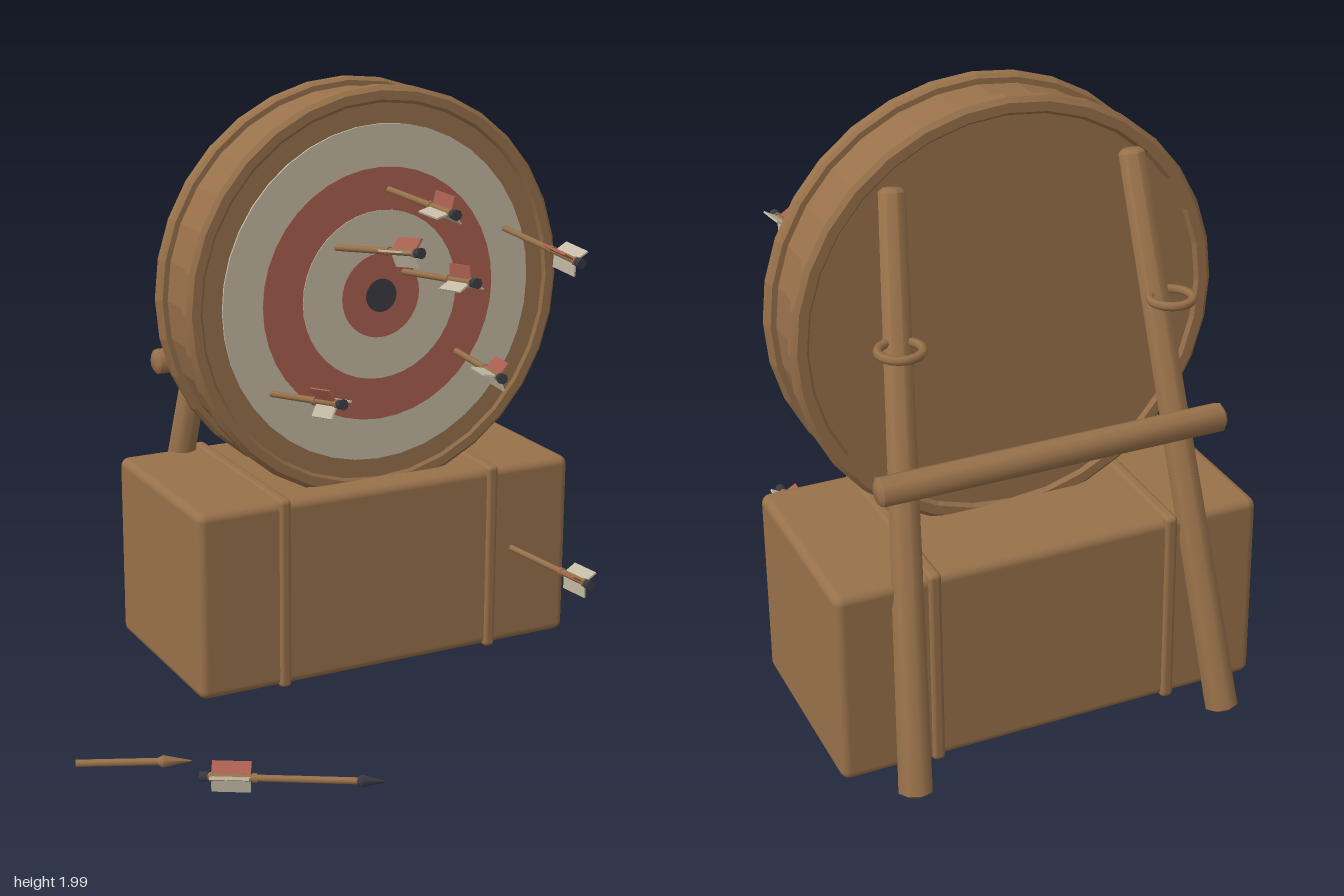
import * as THREE from 'three';
import { toCreasedNormals } from 'three/addons/utils/BufferGeometryUtils.js';
import { RoundedBoxGeometry } from 'three/addons/geometries/RoundedBoxGeometry.js';

const material = (name, color) => Object.assign(new THREE.MeshStandardMaterial({ color }), { name });
const V = (x, y, z) => new THREE.Vector3(x, y, z);

export function createModel() {
  const wood = material('wood', 0x98714a);
  const cream = material('cream', 0xc4baa4);
  const red = material('red', 0xa95f4f);
  const dark = material('dark', 0x3a3b42);
  const model = new THREE.Group();
  model.name = 'archeryTarget';

  function add(parent, name, geometry, mat, x = 0, y = 0, z = 0) {
    const mesh = new THREE.Mesh(geometry, mat);
    mesh.name = name;
    mesh.position.set(x, y, z);
    parent.add(mesh);
    return mesh;
  }

  // Cylinder whose axis runs along z, from z0 to z1
  function rod(parent, name, r0, r1, z0, z1, mat, sides = 8) {
    const g = new THREE.CylinderGeometry(r1, r0, z1 - z0, sides).rotateX(Math.PI / 2);
    return add(parent, name, g, mat, 0, 0, (z0 + z1) / 2);
  }

  // Wooden pole with bevelled ends between two points
  function pole(name, a, b, ra, rb) {
    const len = a.distanceTo(b), c = 0.012;
    const pts = [[0, 0], [ra * 0.65, 0], [ra, c], [rb, len - c], [rb * 0.65, len], [0, len]];
    const g = new THREE.LatheGeometry(pts.map(p => new THREE.Vector2(...p)), 8);
    const mesh = add(model, name, toCreasedNormals(g, 0.85), wood, a.x, a.y, a.z);
    mesh.quaternion.setFromUnitVectors(V(0, 1, 0), b.clone().sub(a).normalize());
  }

  // Bale with two straps
  add(model, 'bale', new RoundedBoxGeometry(1.41, 0.65, 0.7, 2, 0.03), wood, 0.26, 0.35, -0.325);
  for (const x of [-0.137, 0.653]) {
    add(model, 'strap', new RoundedBoxGeometry(0.042, 0.665, 0.722, 2, 0.015), wood, x, 0.353, -0.325);
  }

  // Round target: drum with a raised rim at each end
  const target = new THREE.Group();
  target.name = 'target';
  target.position.set(0.26, 1.31, 0);
  model.add(target);
  const profile = [
    [0, -0.342], [0.635, -0.342], [0.645, -0.355], [0.675, -0.355], [0.69, -0.342], [0.69, -0.312],
    [0.68, -0.3], [0.662, -0.3], [0.662, -0.128], [0.68, -0.128], [0.69, -0.116], [0.69, -0.084],
    [0.675, -0.07], [0.645, -0.07], [0.635, -0.078], [0, -0.078],
  ].map(p => new THREE.Vector2(...p));
  const drum = new THREE.LatheGeometry(profile, 32).rotateX(Math.PI / 2);
  add(target, 'drum', toCreasedNormals(drum, 0.15), wood);

  // Painted scoring rings, stacked as thin discs
  [[0.568, cream], [0.427, red], [0.285, cream], [0.143, red], [0.056, dark]].forEach(([r, mat], i) => {
    const front = -0.071 + i * 0.003;
    rod(target, 'scoringRing', r, r, front - 0.008, front, mat, 40);
  });

  // Rear legs, rings and crossbar
  for (const s of [-1, 1]) {
    pole('rearLeg', V(0.26 + s * 0.525, 0.025, -0.812), V(0.26 + s * 0.38, 1.8, -0.388), 0.055, 0.042);
    const ring = add(model, 'ring', new THREE.TorusGeometry(0.066, 0.014, 6, 16), wood, 0.26 + s * 0.435, 1.375, -0.563);
    ring.rotation.x = Math.PI / 2;
  }
  pole('crossbar', V(-0.305, 1, -0.675), V(0.825, 1, -0.675), 0.046, 0.046);

  // Arrow running from its point to its nock; roll turns the red vane, in degrees
  function arrow(name, point, nock, roll, hasHead) {
    const g = new THREE.Group();
    g.name = name;
    g.position.copy(point);
    g.lookAt(nock);
    model.add(g);
    const len = point.distanceTo(nock);
    rod(g, 'shaft', 0.011, 0.011, hasHead ? 0.06 : -0.03, len - 0.02, wood);
    rod(g, 'binding', 0.015, 0.015, len - 0.175, len - 0.16, wood);
    rod(g, 'binding', 0.015, 0.015, len - 0.04, len - 0.03, wood);
    rod(g, 'nock', 0.015, 0.018, len - 0.026, len, dark);
    if (hasHead) {
      rod(g, 'arrowhead', 0.001, 0.021, 0, 0.075, dark, 6);
      rod(g, 'arrowheadSocket', 0.021, 0.012, 0.075, 0.09, dark, 6);
    }
    for (let i = 0; i < 3; i++) {
      const vane = new THREE.BoxGeometry(0.045, 0.006, 0.12).translate(0.03, 0, len - 0.095);
      add(g, 'vane', vane, i ? cream : red).rotation.z = (roll + i * 120) * Math.PI / 180;
    }
  }

  // Arrows stuck in the target and bale
  [
    [0.29, 1.66, -0.07, 0.285, 1.655, 0.38, 75],
    [0.097, 1.485, -0.07, 0.168, 1.545, 0.37, 50],
    [0.345, 1.38, -0.07, 0.367, 1.43, 0.375, 90],
    [0.735, 1.49, -0.07, 0.752, 1.455, 0.38, 150],
    [-0.135, 1.02, -0.07, -0.1, 1.095, 0.37, 120],
    [0.555, 1.083, -0.07, 0.472, 1.105, 0.37, 50],
    [0.738, 0.372, 0.025, 0.752, 0.395, 0.5, 150],
  ].forEach(a => arrow('stuckArrow', V(a[0], a[1], a[2]), V(a[3], a[4], a[5]), a[6], false));

  // Whole arrow lying on the ground
  arrow('fallenArrow', V(-0.205, 0.065, 0.868), V(-0.695, 0.065, 0.585), 140, true);

  // Broken shaft with a splintered end
  const broken = new THREE.Group();
  broken.name = 'brokenArrow';
  broken.position.set(-0.975, 0.032, 0.272);
  broken.lookAt(-0.645, 0.03, 0.412);
  model.add(broken);
  rod(broken, 'brokenShaft', 0.012, 0.012, 0, 0.29, wood);
  rod(broken, 'woodenHead', 0.021, 0.002, 0.27, 0.357, wood, 6);
  rod(broken, 'woodenHeadBase', 0.011, 0.021, 0.25, 0.27, wood, 6);

  return model;
}
